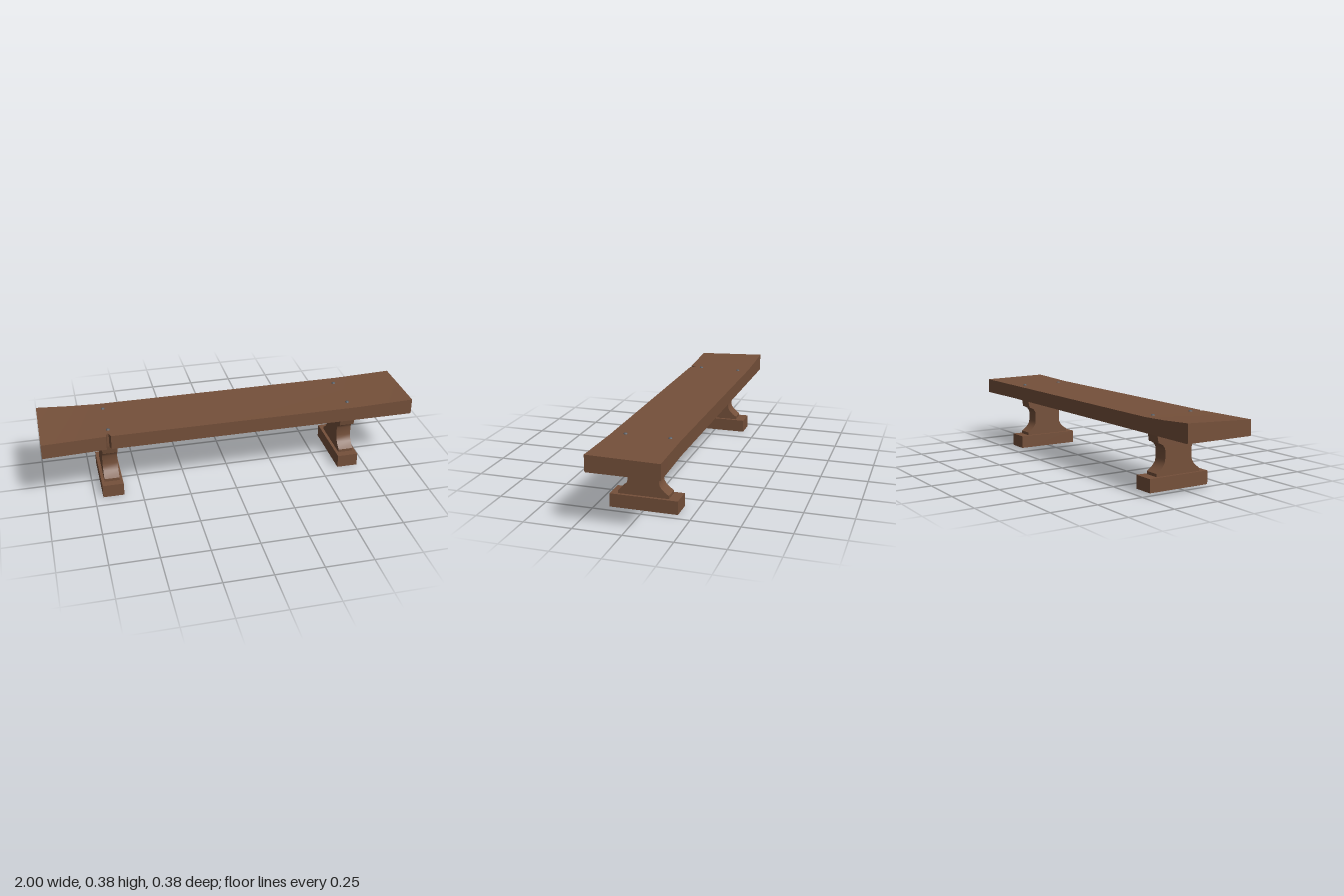
import * as THREE from 'three';
import { toCreasedNormals } from 'three/addons/utils/BufferGeometryUtils.js';

const wood = new THREE.MeshStandardMaterial({ color: 0x75503a });
wood.name = 'brown wood';
const iron = new THREE.MeshStandardMaterial({ color: 0x565b62 });
iron.name = 'grey iron';

function addMesh(parent, name, geometry, material, x = 0, y = 0, z = 0) {
  const mesh = new THREE.Mesh(geometry, material);
  mesh.name = name;
  mesh.position.set(x, y, z);
  parent.add(mesh);
  return mesh;
}

// Seat plank: four-cornered sections lofted along x, warped at both ends
function plankGeometry() {
  const bottom = 0.29;
  // x, back z, front z, top at back, top at front
  const sections = [
    [-1, -0.181, 0.192, 0.385, 0.369],
    [-0.82, -0.181, 0.183, 0.373, 0.368],
    [-0.67, -0.181, 0.175, 0.367, 0.367],
    [-0.663, -0.181, 0.146, 0.367, 0.367], // split in the front edge
    [-0.653, -0.181, 0.146, 0.367, 0.367],
    [-0.645, -0.181, 0.175, 0.367, 0.367],
    [0.68, -0.181, 0.175, 0.367, 0.367],
    [1, -0.192, 0.175, 0.37, 0.375],
  ];
  const rings = sections.map(([x, zb, zf, tb, tf]) => [
    [x, bottom, zf], [x, tf, zf], [x, tb, zb], [x, bottom, zb],
  ]);
  const positions = [];
  const quad = (a, b, c, d) => positions.push(...a, ...b, ...c, ...a, ...c, ...d);
  for (let i = 0; i < rings.length - 1; i++) {
    for (let j = 0; j < 4; j++) {
      const k = (j + 1) % 4;
      quad(rings[i][j], rings[i + 1][j], rings[i + 1][k], rings[i][k]);
    }
  }
  const first = rings[0], last = rings[rings.length - 1];
  quad(first[0], first[1], first[2], first[3]);
  quad(last[3], last[2], last[1], last[0]);
  const geometry = new THREE.BufferGeometry();
  geometry.setAttribute('position', new THREE.Float32BufferAttribute(positions, 3));
  return toCreasedNormals(geometry, 0.5);
}

// Waisted upright: symmetrical profile extruded across the leg thickness
function uprightGeometry() {
  const half = [
    [0.131, 0.068], [0.131, 0.086], [0.111, 0.1], [0.095, 0.115], [0.084, 0.132], [0.08, 0.15],
    [0.08, 0.196], [0.084, 0.21], [0.094, 0.223], [0.107, 0.231], [0.121, 0.236], [0.131, 0.292],
  ];
  const outline = [...half, ...half.map(([z, y]) => [-z, y]).reverse()];
  const shape = new THREE.Shape(outline.map(([z, y]) => new THREE.Vector2(z, y)));
  const geometry = new THREE.ExtrudeGeometry(shape, { depth: 0.08, bevelEnabled: false });
  geometry.translate(0, 0, -0.04);
  geometry.rotateY(-Math.PI / 2);
  return toCreasedNormals(geometry, 0.6);
}

export function createModel() {
  const bench = new THREE.Group();
  bench.name = 'bench';
  addMesh(bench, 'seatPlank', plankGeometry(), wood);

  const upright = uprightGeometry();
  const foot = new THREE.BoxGeometry(0.112, 0.07, 0.352);
  const head = new THREE.SphereGeometry(0.011, 8, 4, 0, Math.PI * 2, 0, Math.PI / 2);
  head.scale(1, 0.7, 1);

  for (const side of [-1, 1]) {
    const leg = new THREE.Group();
    leg.name = side > 0 ? 'leftLeg' : 'rightLeg';
    leg.position.x = side * 0.651;
    addMesh(leg, 'foot', foot, wood, 0, 0.035, 0);
    addMesh(leg, 'upright', upright, wood, 0, 0, 0.005);
    // Nail heads holding the plank to this leg
    for (const z of [-0.122, 0.106]) addMesh(leg, 'nailHead', head, iron, 0, 0.366, z);
    bench.add(leg);
  }
  return bench;
}
